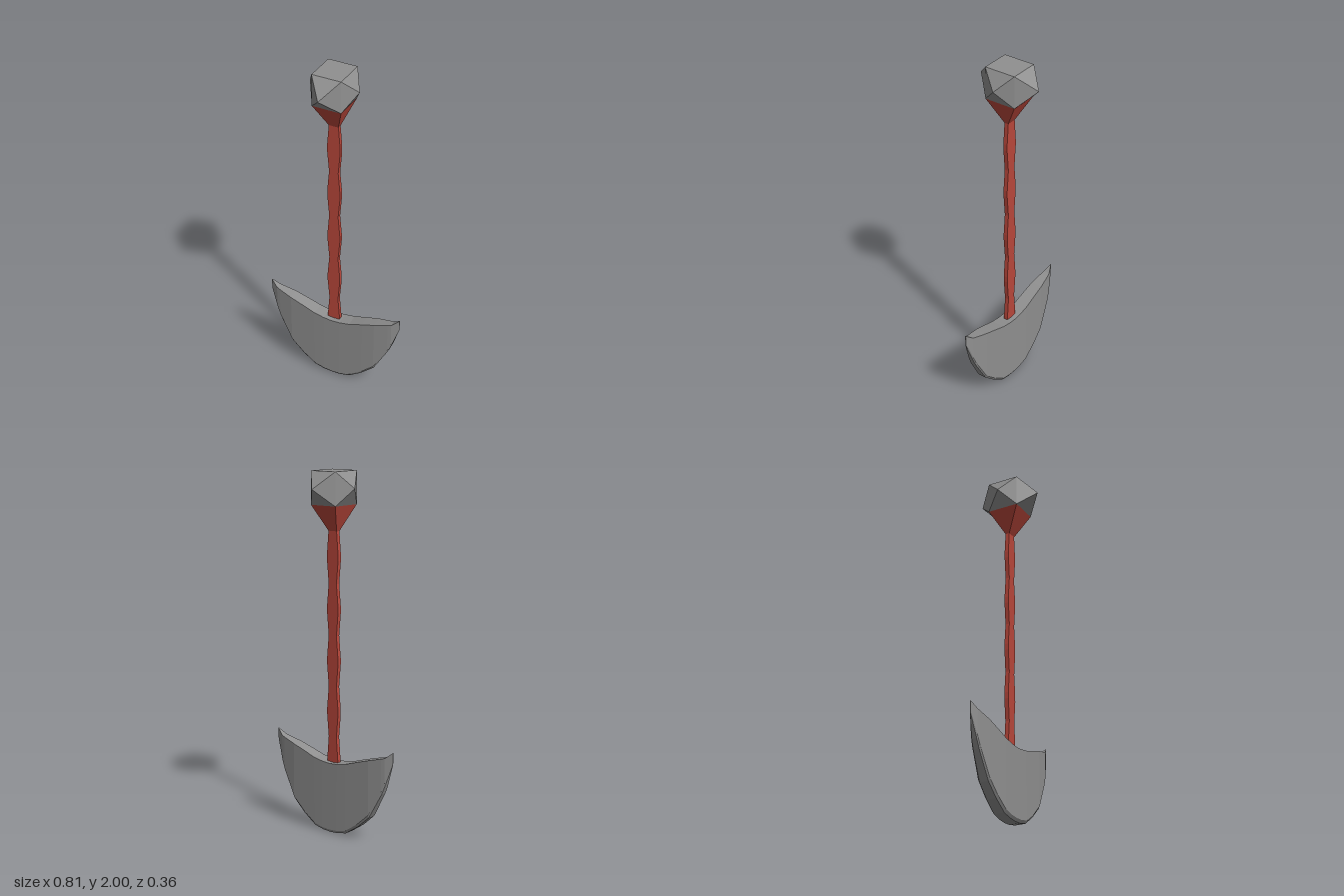
import * as THREE from 'three';
import { ConvexGeometry } from 'three/addons/geometries/ConvexGeometry.js';

// Skin a row of equal-length cross-section loops, closing both ends, with hard facets.
function loft(rings) {
  const pos = [];
  const n = rings[0].length;
  const last = rings[rings.length - 1];
  const tri = (...pts) => pts.forEach((p) => pos.push(...p));
  for (let i = 0; i < rings.length - 1; i++) {
    for (let k = 0; k < n; k++) {
      const j = (k + 1) % n;
      const a = rings[i][k], b = rings[i][j], c = rings[i + 1][j], d = rings[i + 1][k];
      tri(a, b, c);
      tri(a, c, d);
    }
  }
  for (let k = 1; k < n - 1; k++) {
    tri(rings[0][0], rings[0][k + 1], rings[0][k]);
    tri(last[0], last[k], last[k + 1]);
  }
  const geo = new THREE.BufferGeometry();
  geo.setAttribute('position', new THREE.Float32BufferAttribute(pos, 3));
  geo.computeVertexNormals();
  return geo;
}

// Rectangular section of half-width w and half-depth d at height y
const rect = (y, w, d) => [[-w, y, d], [w, y, d], [w, y, -d], [-w, y, -d]];

export function createModel() {
  const group = new THREE.Group();
  const steel = new THREE.MeshStandardMaterial({ color: 0x909090 });
  steel.name = 'grey steel';
  const red = new THREE.MeshStandardMaterial({ color: 0xb9473b });
  red.name = 'red grip';

  const add = (name, geo, mat) => {
    const mesh = new THREE.Mesh(geo, mat);
    mesh.name = name;
    group.add(mesh);
  };

  // Flat shaft with wavy sides
  const shaft = [rect(0.36, 0.037, 0.012), rect(0.42, 0.037, 0.012)];
  for (let i = 0; i < 4; i++) {
    const y = 0.545 + i * 0.284;
    shaft.push(rect(y, 0.027, 0.012));
    shaft.push(rect(y + 0.125, 0.038, 0.012), rect(y + 0.16, 0.038, 0.012));
  }
  shaft.push(rect(1.68, 0.028, 0.012));
  add('shaft', loft(shaft), red);

  // Flared collar under the pommel
  add('collar', loft([rect(1.68, 0.028, 0.012), rect(1.82, 0.083, 0.09)]), red);

  // Faceted pommel: a block with a low pyramid on each of its four sides
  const corners = [];
  for (const x of [-0.083, 0.083])
    for (const y of [1.82, 2])
      for (const z of [-0.09, 0.09]) corners.push(new THREE.Vector3(x, y, z));
  for (const s of [-1, 1]) {
    corners.push(new THREE.Vector3(s * 0.141, 1.91, 0));
    corners.push(new THREE.Vector3(0, 1.91, s * 0.181));
  }
  add('pommel', new ConvexGeometry(corners), steel);

  // Crescent blade, half profile: x, top y, bottom y, half thickness
  const half = [
    [0, 0.4, 0, 0.041],
    [0.05, 0.404, 0.003, 0.041],
    [0.11, 0.415, 0.016, 0.04],
    [0.19, 0.441, 0.07, 0.037],
    [0.265, 0.464, 0.138, 0.034],
    [0.345, 0.486, 0.285, 0.023],
    [0.365, 0.492, 0.335, 0.019],
    [0.407, 0.525, 0.46, 0.002],
  ];
  const mirrored = half.slice(1).reverse().map(([x, ...rest]) => [-x, ...rest]);
  const blade = [...mirrored, ...half].map(([x, top, bottom, t]) => {
    const bevel = bottom + 0.016;
    return [
      [x, top, t], [x, bevel, t], [x, bottom, t * 0.75],
      [x, bottom, -t * 0.75], [x, bevel, -t], [x, top, -t],
    ];
  });
  add('blade', loft(blade), steel);

  return group;
}
